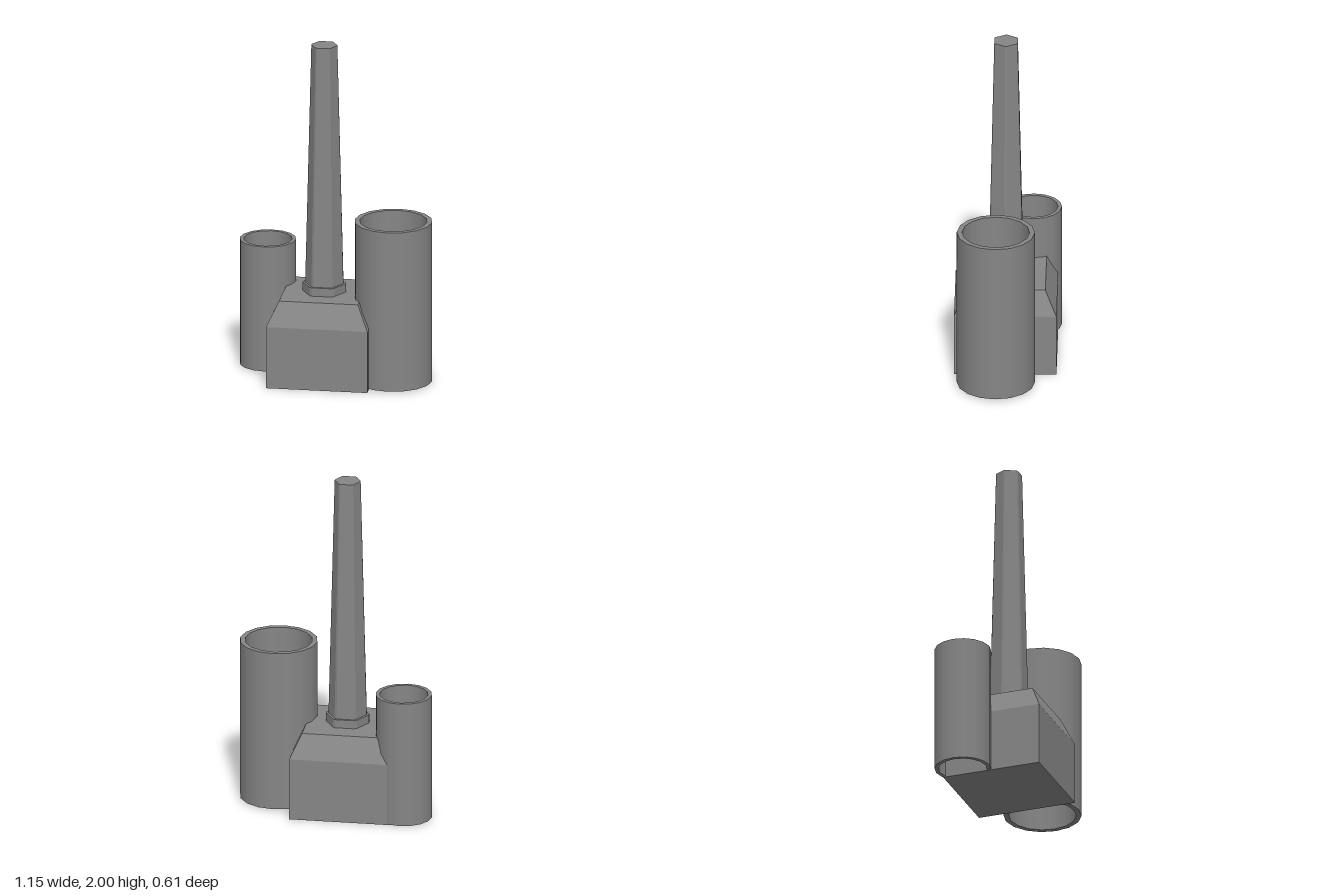
import * as THREE from 'three';
import { mergeGeometries } from 'three/addons/utils/BufferGeometryUtils.js';

const grey = new THREE.MeshStandardMaterial({ color: 0x868686 });
grey.name = 'concrete grey';

// Closed flat-faced solid through stacked rings of [x, z], counter-clockwise from above.
function loft(levels) {
  const pos = [];
  const tri = (...corners) => corners.forEach((c) => pos.push(...c));
  const rings = levels.map(({ y, ring }) => ring.map(([x, z]) => [x, y, z]));
  const n = rings[0].length;
  for (let k = 0; k < rings.length - 1; k++) {
    const lo = rings[k], hi = rings[k + 1];
    for (let i = 0; i < n; i++) {
      const j = (i + 1) % n;
      tri(lo[i], lo[j], hi[j]);
      tri(lo[i], hi[j], hi[i]);
    }
  }
  const bottom = rings[0], top = rings[rings.length - 1];
  for (let i = 1; i < n - 1; i++) {
    tri(bottom[0], bottom[i + 1], bottom[i]);
    tri(top[0], top[i], top[i + 1]);
  }
  const g = new THREE.BufferGeometry();
  g.setAttribute('position', new THREE.Float32BufferAttribute(pos, 3));
  g.computeVertexNormals();
  return g;
}

// Square ring of half width h.
const square = (h) => [[h, h], [h, -h], [-h, -h], [-h, h]];

// Hexagon of corner radius r with slightly trimmed corners.
function hexagon(r, trim = 0.075) {
  const corner = (i) => new THREE.Vector2(Math.cos(i * Math.PI / 3), -Math.sin(i * Math.PI / 3)).multiplyScalar(r);
  const ring = [];
  for (let i = 0; i < 6; i++) {
    for (const side of [-1, 1]) ring.push(corner(i).lerp(corner(i + side), trim).toArray());
  }
  return ring;
}

// Open-ended pipe with wall thickness; smooth walls and crisp rims.
function pipe(outer, inner, y0, y1) {
  const profile = [[outer, y0], [outer, y1], [inner, y1], [inner, y0], [outer, y0]];
  const parts = [];
  for (let i = 0; i < 4; i++) {
    const pts = [profile[i], profile[i + 1]].map(([x, y]) => new THREE.Vector2(x, y));
    parts.push(new THREE.LatheGeometry(pts, 16));
  }
  return mergeGeometries(parts);
}

export function createModel() {
  const model = new THREE.Group();
  model.name = 'industrialPlant';
  const add = (name, geometry, x, z) => {
    const mesh = new THREE.Mesh(geometry, grey);
    mesh.name = name;
    mesh.position.set(x, 0, z);
    model.add(mesh);
  };

  // Main building with sloping shoulders
  add('building', loft([
    { y: 0, ring: square(0.295) },
    { y: 0.37, ring: square(0.295) },
    { y: 0.51, ring: square(0.23) },
  ]), -0.06, 0.008);

  // Six-sided chimney on its collar
  add('chimneyCollar', loft([
    { y: 0.505, ring: hexagon(0.13) },
    { y: 0.56, ring: hexagon(0.13) },
  ]), -0.06, 0.008);
  add('chimney', loft([
    { y: 0.555, ring: hexagon(0.115) },
    { y: 2, ring: hexagon(0.078) },
  ]), -0.06, 0.008);

  // Open round towers at either side
  add('largeTower', pipe(0.225, 0.195, 0.008, 0.97), 0.35, 0.06);
  add('smallTower', pipe(0.163, 0.14, 0.006, 0.76), -0.412, -0.145);

  return model;
}
